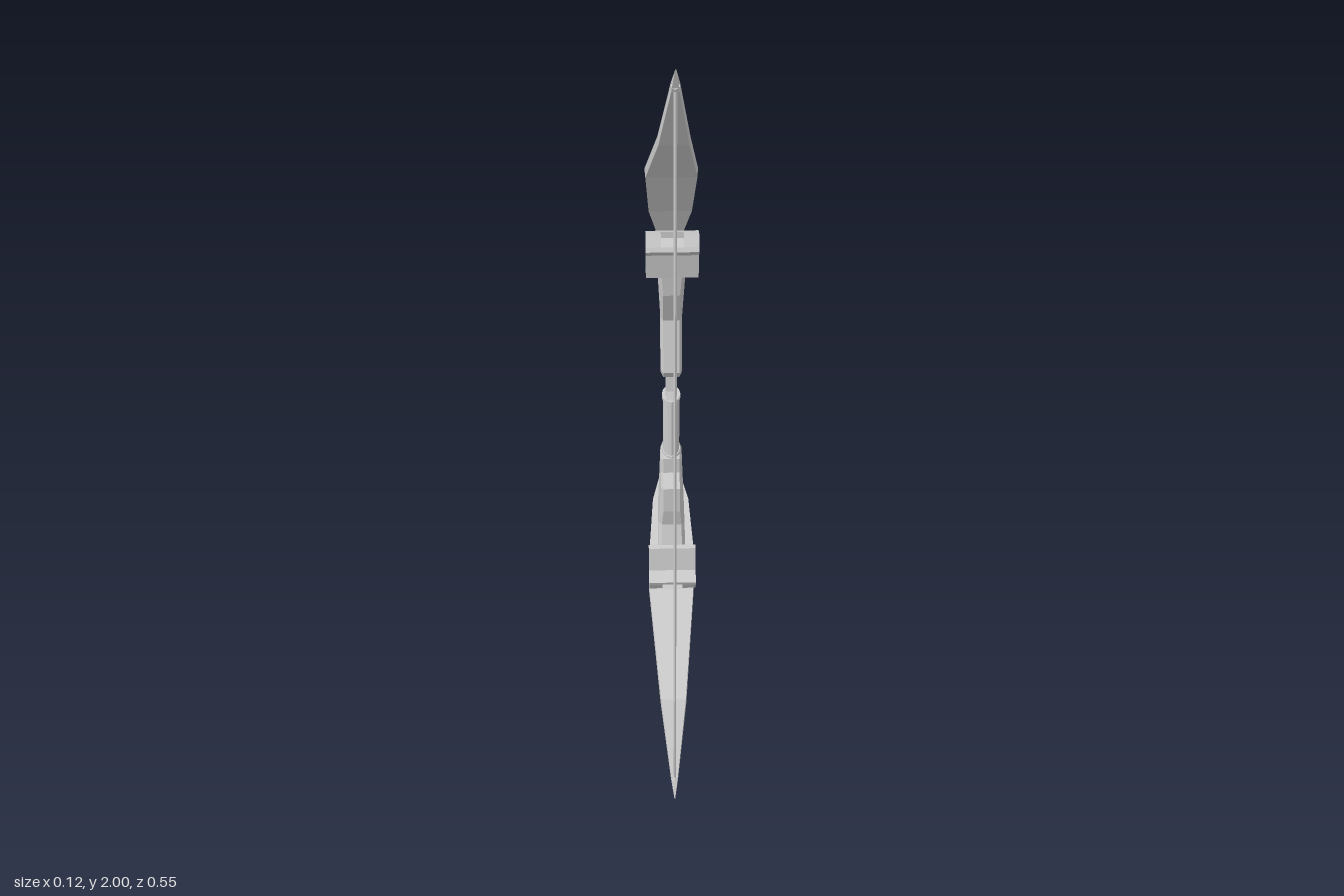
import * as THREE from 'three';

const grey = new THREE.MeshStandardMaterial({ color: 0xcccccc, flatShading: true, side: THREE.DoubleSide });

// Piecewise-linear lookup in [key, value] pairs with ascending keys
function lerpTable(table, k) {
  if (k <= table[0][0]) return table[0][1];
  for (let i = 1; i < table.length; i++) {
    const [a, va] = table[i - 1], [b, vb] = table[i];
    if (k <= b) return va + ((vb - va) * (k - a)) / (b - a);
  }
  return table[table.length - 1][1];
}

// Extrudes a (z, y) side profile along x; halfWidth(z, y) sets the width at each point
function slab(profile, halfWidth, bevel = 0) {
  const depth = 2 * (1 - bevel * 20);
  const geo = new THREE.ExtrudeGeometry(new THREE.Shape(profile.map(([z, y]) => new THREE.Vector2(z, y))), {
    depth, bevelEnabled: bevel > 0, bevelSegments: 1,
    bevelSize: bevel, bevelOffset: -bevel, bevelThickness: bevel * 20,
  });
  geo.translate(0, 0, -depth / 2);
  geo.rotateY(-Math.PI / 2);
  const p = geo.attributes.position;
  for (let i = 0; i < p.count; i++) p.setX(i, p.getX(i) * halfWidth(p.getZ(i), p.getY(i)));
  geo.computeVertexNormals();
  return geo;
}

export function createModel() {
  const bow = new THREE.Group();
  bow.name = 'bow';
  const add = (name, geo, x = 0, y = 0, z = 0) => {
    const mesh = new THREE.Mesh(geo, grey);
    mesh.name = name;
    mesh.position.set(x, y, z);
    bow.add(mesh);
    return mesh;
  };

  const limbProfile = [
    [0.28, 2], [0.25, 1.96], [0.14, 1.795], [-0.08, 1.61], [-0.187, 1.462], [-0.272, 1.28],
    [-0.245, 1.305], [-0.17, 1.455], [-0.066, 1.595], [0.147, 1.778], [0.258, 1.945],
  ];
  const limbWidth = [[-0.275, 0.002], [-0.25, 0.01], [-0.19, 0.047], [-0.08, 0.058],
    [0.14, 0.033], [0.24, 0.01], [0.26, 0.008], [0.28, 0.001]];

  const bracketProfile = [
    [-0.272, 1.28], [-0.165, 1.388], [-0.02, 1.49], [0, 1.498], [0, 1.483], [0.041, 1.483], [0.045, 1.473],
    [0.022, 1.452], [0.012, 1.39], [-0.002, 1.39], [-0.015, 1.435], [-0.03, 1.452], [-0.05, 1.45], [-0.16, 1.37],
  ];
  const bracketWidth = [[-0.272, 0.002], [-0.25, 0.01], [-0.16, 0.045], [-0.03, 0.058]];
  const cheekProfile = [[0, 1.498], [0.028, 1.506], [0.041, 1.483], [0, 1.483]];

  // Limb and hooked bracket, mirrored about mid height
  for (const [side, flip] of [['upper', (y) => y], ['lower', (y) => 2 - y]]) {
    const at = (profile) => profile.map(([z, y]) => [z, flip(y)]);
    add(side + 'Limb', slab(at(limbProfile), (z) => lerpTable(limbWidth, z)));
    add(side + 'Bracket', slab(at(bracketProfile), (z) => lerpTable(bracketWidth, z)));
    for (const s of [-1, 1]) add(side + 'BracketCheek', slab(at(cheekProfile), () => 0.0165), s * 0.0415);
    const nock = add(side + 'Nock', new THREE.CylinderGeometry(0.009, 0.009, 0.012, 8), 0, flip(1.952), 0.253);
    nock.rotation.x = flip(1) === 1 && side === 'upper' ? 0.6 : -0.6;
  }

  // Chamfered riser blocks, flaring towards the brackets
  const upperRiser = [
    [-0.03, 1.452], [-0.03, 1.4], [-0.042, 1.31], [-0.08, 1.22], [-0.055, 1.09], [-0.075, 1.065],
    [-0.125, 1.065], [-0.132, 1.09], [-0.153, 1.25], [-0.136, 1.385], [-0.055, 1.45],
  ];
  const upperFlare = [[1.32, 0.025], [1.39, 0.033]];
  add('upperRiser', slab(upperRiser, (z, y) => lerpTable(upperFlare, y), 0.012));

  const lowerRiser = [
    [-0.062, 0.832], [-0.062, 0.79], [-0.035, 0.76], [-0.035, 0.69], [-0.045, 0.64], [-0.02, 0.56],
    [-0.05, 0.555], [-0.137, 0.62], [-0.152, 0.78], [-0.135, 0.832],
  ];
  const lowerFlare = [[0.62, 0.034], [0.7, 0.026]];
  add('lowerRiser', slab(lowerRiser, (z, y) => lerpTable(lowerFlare, y), 0.012));

  // Oval handle with end collars, and the thin arrow-rest neck above it
  const oval = (name, r, h, y) => {
    add(name, new THREE.CylinderGeometry(r, r, h, 12), 0, y, -0.1).scale.x = 0.6;
  };
  oval('handle', 0.033, 0.17, 0.912);
  oval('handleTopCollar', 0.037, 0.012, 0.994);
  oval('handleBottomCollar', 0.037, 0.012, 0.832);
  add('neck', slab([[-0.085, 1.075], [-0.08, 1.02], [-0.07, 0.998], [-0.118, 0.998], [-0.118, 1.075]], () => 0.013));

  add('bowstring', new THREE.CylinderGeometry(0.004, 0.004, 1.9, 6), 0, 1, 0.255);
  return bow;
}
